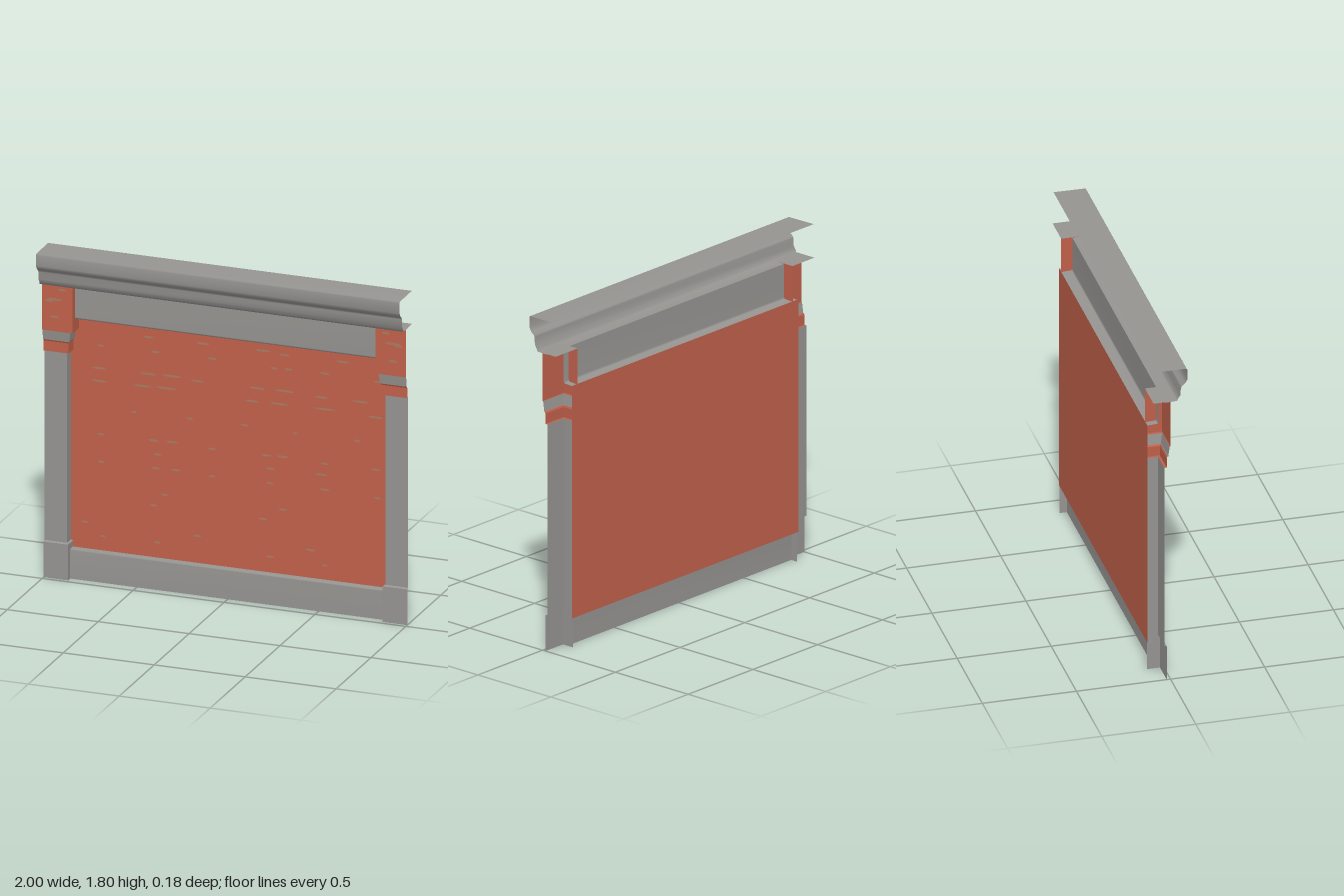
import * as THREE from 'three';
import { mergeGeometries } from 'three/addons/utils/BufferGeometryUtils.js';

const BACK = -0.09;

// Sheet through rows of points (bottom to top, each row left to right)
function loft(rows, smooth) {
  const n = rows[0].length, index = [];
  for (let r = 0; r < rows.length - 1; r++) {
    for (let i = 0; i < n - 1; i++) {
      const a = r * n + i, b = a + 1, d = a + n, c = d + 1;
      index.push(a, b, c, a, c, d);
    }
  }
  let geo = new THREE.BufferGeometry();
  geo.setAttribute('position', new THREE.Float32BufferAttribute(rows.flat(2), 3));
  geo.setIndex(index);
  if (!smooth) geo = geo.toNonIndexed();
  geo.computeVertexNormals();
  return geo;
}

// Moulding: profile of [z, y] points swept along x
const sweep = (profile, w, smooth = true) =>
  loft(profile.map(([z, y]) => [[-w, y, z], [w, y, z]]), smooth);

// Pillar piece: front and inner return, from [y, innerX, frontZ] sections
const returnSheet = (sections) =>
  loft(sections.map(([y, x, z]) => [[x, y, BACK], [x, y, z], [1, y, z]]), false);

export function createModel() {
  const mat = (name, color) =>
    Object.assign(new THREE.MeshStandardMaterial({ color, side: THREE.DoubleSide }), { name });
  const stone = mat('stone grey', 0x969491);
  const brick = mat('brick red', 0xc0604a);
  const mortar = mat('mortar tan', 0xab7a60);

  const model = new THREE.Group();
  const add = (parent, name, geo, material) => {
    const mesh = new THREE.Mesh(geo, material);
    mesh.name = name;
    parent.add(mesh);
    return mesh;
  };

  // Wall between the pillars
  add(model, 'brickWall', sweep([[BACK, 0.16], [BACK, 1.43]], 0.875, false), brick);

  // Skirting with its top ledge
  add(model, 'skirting', sweep([[-0.05, 0], [-0.05, 0.155], [-0.055, 0.16], [BACK, 0.162]], 0.868), stone);

  // Frieze with its underside ledge
  add(model, 'frieze', sweep([[BACK, 1.427], [-0.035, 1.43], [-0.03, 1.44], [-0.03, 1.62]], 0.87), stone);

  // Cornice moulding, open at the back and ends
  add(model, 'cornice', sweep([
    [-0.03, 1.62], [0.035, 1.622], [0.04, 1.635], [0.053, 1.655], [0.055, 1.695],
    [0.06, 1.705], [0.078, 1.72], [0.09, 1.74], [0.09, 1.795], [0.086, 1.803], [-0.085, 1.805],
  ], 1), stone);

  // Mortar showing in the brickwork: [y, length, x positions]
  const joints = [
    [1.365, 0.08, [-0.45, -0.15, 0.18, 0.3, 0.62]],
    [1.285, 0.05, [-0.71, -0.41, -0.1, 0.24, 0.32, 0.52, 0.81]],
    [1.16, 0.1, [-0.72, -0.45, -0.32, -0.18, 0.15, 0.3, 0.5, 0.72]],
    [1.09, 0.11, [-0.72, -0.48, -0.35, 0.12, 0.27, 0.52, 0.8]],
    [0.945, 0.04, [-0.53, -0.22, 0.08, 0.36, 0.7]],
    [0.8, 0.06, [-0.71, -0.42, -0.32, -0.1, 0.2, 0.29, 0.52, 0.8]],
    [0.73, 0.06, [-0.4, 0.22, 0.5]],
    [0.65, 0.05, [-0.71, -0.41, -0.3, -0.1, 0.22, 0.52, 0.81]],
    [0.515, 0.05, [-0.36, 0.29]],
    [0.45, 0.05, [-0.42, 0.18]],
    [0.31, 0.05, [-0.8, -0.18, 0.44]],
    [0.245, 0.04, [-0.7, -0.4, 0.22, 0.52]],
  ];
  const flecks = joints.flatMap(([y, len, xs]) => xs.map((x, i) =>
    new THREE.CircleGeometry(0.5, 6)
      .scale(len * (0.8 + 0.2 * (i % 3)), 0.014, 1)
      .translate(x, y + 0.004 * ((i % 3) - 1), BACK + 0.002)));
  add(model, 'mortarJoints', mergeGeometries(flecks), mortar);

  // Pillars, mirrored left and right
  for (const side of [1, -1]) {
    const pillar = new THREE.Group();
    pillar.name = side > 0 ? 'leftPillar' : 'rightPillar';
    pillar.scale.x = side;
    model.add(pillar);

    add(pillar, 'pillarShaft', returnSheet([
      [0, 0.865, -0.02], [0.195, 0.865, -0.02], [0.2, 0.875, -0.033], [1.24, 0.875, -0.033],
    ]), stone);
    add(pillar, 'capitalLowerBand', returnSheet([
      [1.24, 0.875, -0.033], [1.24, 0.862, -0.02], [1.295, 0.862, -0.02], [1.305, 0.858, -0.015],
    ]), brick);
    add(pillar, 'capitalStoneBand', returnSheet([
      [1.305, 0.858, -0.015], [1.305, 0.855, -0.012], [1.36, 0.847, -0.004],
    ]), stone);
    add(pillar, 'capitalBlock', returnSheet([
      [1.36, 0.847, -0.004], [1.36, 0.832, 0], [1.622, 0.832, 0],
    ]), brick);

    // Cover plate over the capital
    add(pillar, 'capitalCover', loft([
      [[0.83, 1.623, 0.035], [1, 1.623, 0.035]], [[0.83, 1.623, BACK], [1, 1.623, BACK]],
    ], false), stone);

    // Mortar on the capital front
    const spots = [[0.93, 1.535, 0.09], [0.96, 1.525, 0.05], [0.89, 1.59, 0.05], [0.93, 1.44, 0.05]];
    add(pillar, 'capitalMortar', mergeGeometries(spots.map(([x, y, len]) =>
      new THREE.CircleGeometry(0.5, 6).scale(len, 0.016, 1).translate(x, y, 0.002))), mortar);
  }
  return model;
}
